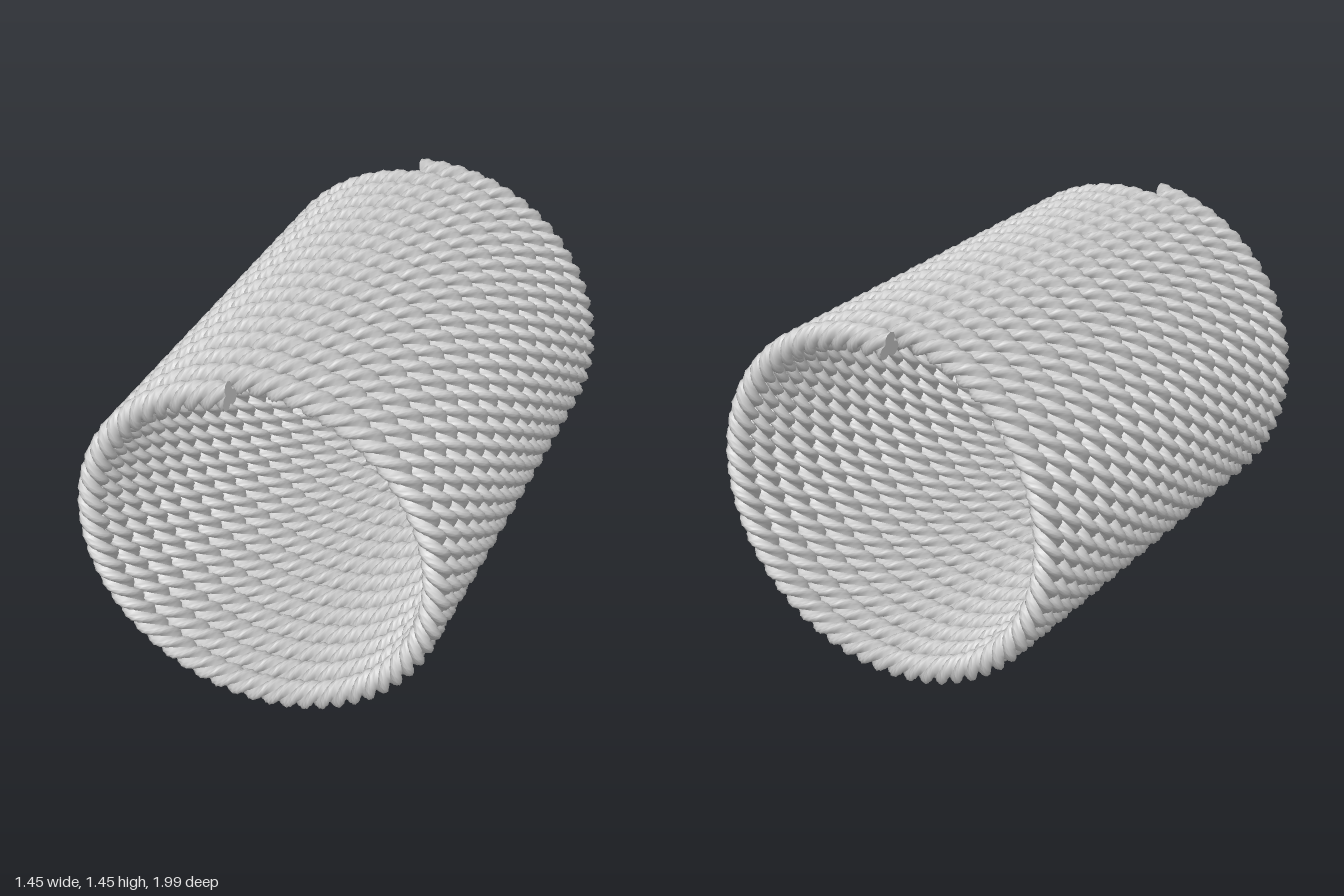
import * as THREE from 'three';

const TURNS = 16;            // coils of rope
const TWISTS = 20;           // rope twists per coil
const STRANDS = 3;
const STEPS = 10;            // rings per twist
const ARC = 6;               // segments across the exposed side of a strand
const COIL_R = 0.669, STRAND_R = 0.0285, HALF = 0.943, CENTRE_Y = 0.727;
const START = Math.PI / 2 + 0.11;
const RINGS = TURNS * TWISTS * STEPS;

// Point on the rope: t runs along the coil, (u, v) lie in its cross-section
function ropePoint(t, u, v) {
  const a = START + t * TURNS * 2 * Math.PI;
  const r = COIL_R + u;
  return [r * Math.cos(a), CENTRE_Y + r * Math.sin(a), HALF * (1 - 2 * t) + v];
}

// Point on the exposed arc of strand s at ring i
function strandPoint(s, i, j) {
  const t = i / RINGS;
  const phi = 2 * Math.PI * (t * TURNS * TWISTS + s / STRANDS);
  const arc = phi + (j / ARC - 0.5) * (4 * Math.PI / 3);
  return ropePoint(t,
    STRAND_R * (Math.cos(phi) + Math.cos(arc)),
    STRAND_R * (Math.sin(phi) + Math.sin(arc)));
}

function toGeometry(pos, idx) {
  const g = new THREE.BufferGeometry();
  g.setAttribute('position', new THREE.Float32BufferAttribute(pos, 3));
  g.setIndex(idx);
  g.computeVertexNormals();
  return g;
}

// One twisted strand swept along the whole coil
function strandGeometry(s) {
  const pos = [], idx = [], row = ARC + 1;
  for (let i = 0; i <= RINGS; i++) {
    for (let j = 0; j <= ARC; j++) {
      pos.push(...strandPoint(s, i, j));
      if (i < RINGS && j < ARC) {
        const a = i * row + j, b = a + row;
        idx.push(a, b, b + 1, a, b + 1, a + 1);
      }
    }
  }
  return toGeometry(pos, idx);
}

// Flat lobed face closing a cut end of the rope
function capGeometry(i) {
  const pos = [...ropePoint(i / RINGS, 0, 0)], idx = [];
  for (let s = 0; s < STRANDS; s++) {
    for (let j = 0; j <= ARC; j++) {
      const k = pos.length / 3;
      pos.push(...strandPoint(s, i, j));
      if (j < ARC) idx.push(0, ...(i === 0 ? [k, k + 1] : [k + 1, k]));
    }
  }
  return toGeometry(pos, idx);
}

export function createModel() {
  const model = new THREE.Group();
  model.name = 'ropeCoil';
  const material = new THREE.MeshStandardMaterial({ color: 0xcccccc });
  const add = (name, geometry) => {
    const mesh = new THREE.Mesh(geometry, material);
    mesh.name = name;
    model.add(mesh);
  };

  for (let s = 0; s < STRANDS; s++) add(`strand${s + 1}`, strandGeometry(s));
  add('frontRopeEnd', capGeometry(0));
  add('backRopeEnd', capGeometry(RINGS));
  return model;
}
